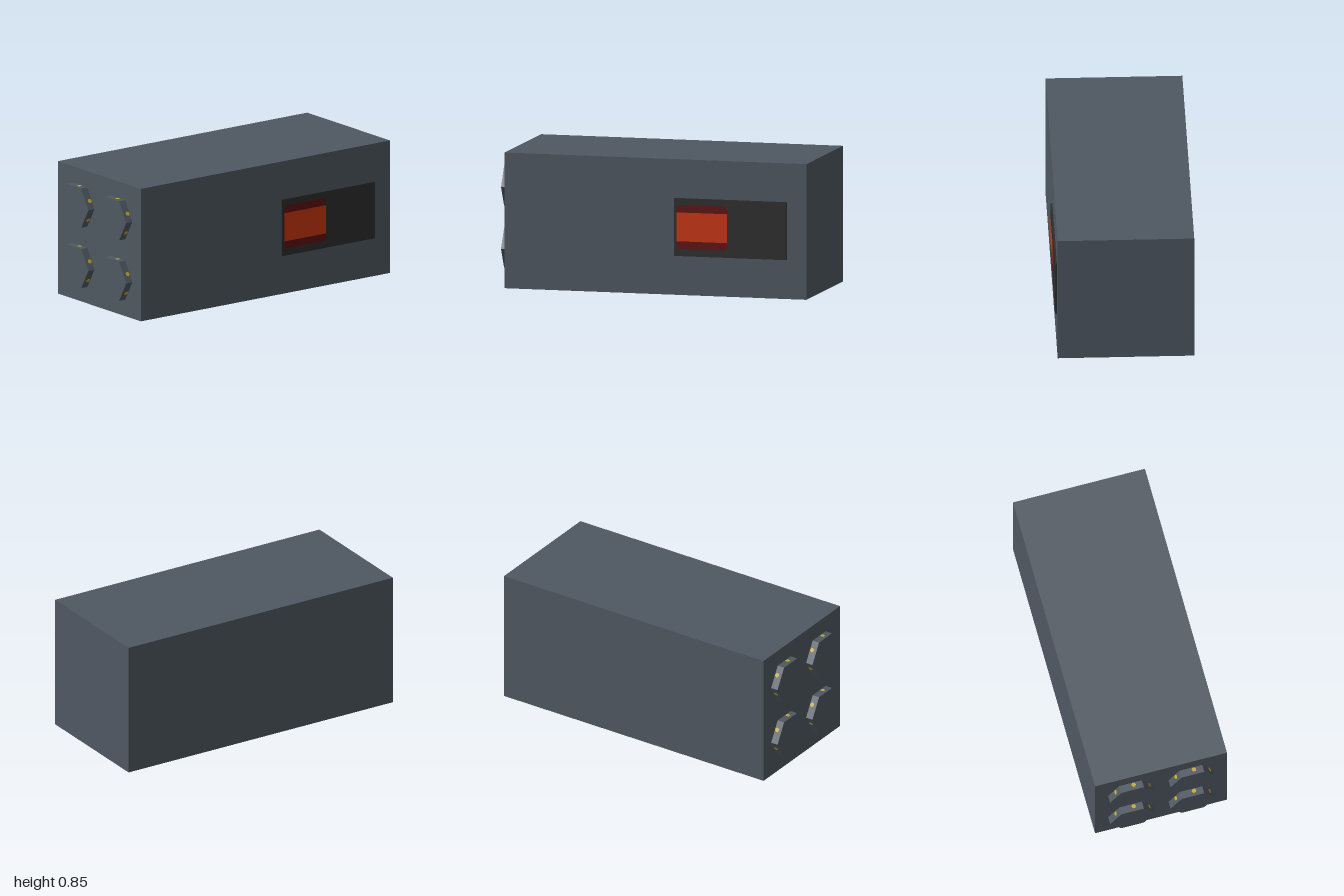
import * as THREE from 'three';

const mat = (name, color) => {
  const m = new THREE.MeshStandardMaterial({ color });
  m.name = name;
  return m;
};

export function createModel() {
  const slate = mat('slate grey', 0x4f5862);
  const black = mat('charcoal', 0x2d2d2d);
  const red = mat('dark red', 0x5e0e10);
  const orange = mat('orange', 0xcb340e);
  const gold = mat('gold', 0xc9a91f);

  const model = new THREE.Group();
  model.name = 'launcherBox';

  const add = (parent, name, geometry, material, x, y, z) => {
    const mesh = new THREE.Mesh(geometry, material);
    mesh.name = name;
    mesh.position.set(x, y, z);
    parent.add(mesh);
    return mesh;
  };

  // Main casing
  const front = 0.952;
  add(model, 'casing', new THREE.BoxGeometry(0.852, 0.854, front + 1), slate, -0.006, 0.427, (front - 1) / 2);

  // Four hexagonal caps on the front, with a small stud on each side face
  const radius = 0.1455, depth = 1 - front;
  const capGeo = new THREE.CylinderGeometry(radius, radius, depth, 6).toNonIndexed();
  capGeo.rotateX(Math.PI / 2).rotateZ(Math.PI / 2);
  capGeo.computeVertexNormals();
  const studGeo = new THREE.CircleGeometry(0.015, 6);
  const apothem = radius * Math.cos(Math.PI / 6);
  for (const x of [-0.202, 0.1875]) {
    for (const y of [0.233, 0.6225]) {
      const cap = new THREE.Group();
      cap.name = 'hexCap';
      cap.position.set(x, y, front);
      model.add(cap);
      add(cap, 'capBody', capGeo, slate, 0, 0, depth / 2);
      for (let i = 0; i < 6; i++) {
        const side = new THREE.Group();
        side.name = 'capSide';
        side.rotation.z = i * Math.PI / 3;
        cap.add(side);
        add(side, 'stud', studGeo, gold, 0.015, apothem + 0.001, 0.016).rotation.x = -Math.PI / 2;
      }
    }
  }

  // Side panel
  add(model, 'sidePanel', new THREE.BoxGeometry(0.014, 0.364, 0.73), black, 0.424, 0.428, -0.51);

  // Dark red backing with clipped corners
  const w = 0.163, h = 0.139, c = 0.016;
  const outline = new THREE.Shape([
    [-w + c, -h], [w - c, -h], [w, -h + c], [w, h - c],
    [w - c, h], [-w + c, h], [-w, h - c], [-w, -h + c],
  ].map(([a, b]) => new THREE.Vector2(a, b)));
  add(model, 'markerBacking', new THREE.ShapeGeometry(outline), red, 0.4315, 0.43, -0.327).rotation.y = Math.PI / 2;

  // Orange band across the backing
  add(model, 'markerBand', new THREE.PlaneGeometry(0.326, 0.182), orange, 0.432, 0.43, -0.327).rotation.y = Math.PI / 2;

  return model;
}
